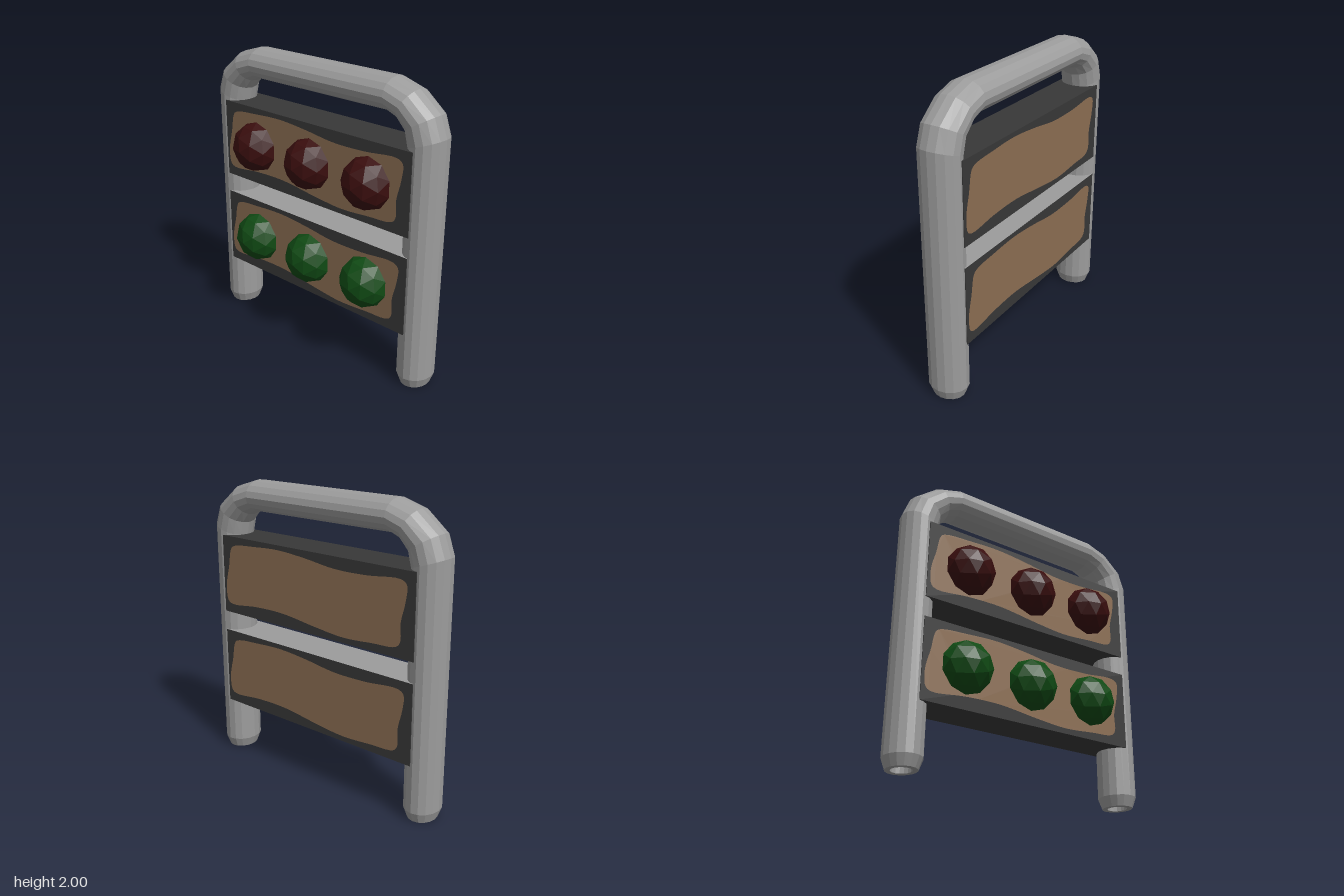
import * as THREE from 'three';

const mat = (name, color, extra = {}) => {
  const m = new THREE.MeshStandardMaterial({ color, ...extra });
  m.name = name;
  return m;
};

const Z = -0.085;      // centre plane of the frame
const HALF = 0.137;    // half depth of the tube and boards

// Bent tube: each station is [outerX, outerY, innerX, innerY, half depth]
function tubeGeometry(sides = 16) {
  const leg = (y, rx, rz) => [-0.82 - rx, y, -0.82 + rx, y, rz];
  const half = [
    leg(0.15, 0, 0), leg(0.15, 0.063, 0.072), leg(0, 0.063, 0.072), // hollow foot
    leg(0, 0.095, 0.11), leg(0.07, 0.12, HALF),                     // tapered foot
    [-0.94, 1.69, -0.70, 1.61, HALF],
    [-0.89, 1.825, -0.68, 1.70, HALF],
    [-0.735, 1.95, -0.63, 1.76, HALF],
    [-0.57, 2.0, -0.56, 1.79, HALF],
  ];
  const mirrored = half.map(([a, b, c, d, e]) => [-a, b, -c, d, e]).reverse();
  const stations = [...half, ...mirrored];
  const pos = [], index = [];
  stations.forEach(([ox, oy, ix, iy, rz], i) => {
    for (let j = 0; j < sides; j++) {
      const t = (j / sides) * Math.PI * 2, c = Math.cos(t) / 2;
      pos.push((ox + ix) / 2 + (ox - ix) * c, (oy + iy) / 2 + (oy - iy) * c, Z + rz * Math.sin(t));
      if (i === stations.length - 1) continue;
      const a = i * sides + j, b = i * sides + (j + 1) % sides;
      index.push(a, b, a + sides, b, b + sides, a + sides);
    }
  });
  const g = new THREE.BufferGeometry();
  g.setAttribute('position', new THREE.Float32BufferAttribute(pos, 3));
  g.setIndex(index);
  g.computeVertexNormals();
  return g;
}

// Wavy wooden inlay, relative to the board centre
function inlayGeometry() {
  const outline = [
    [-0.72, 0.19], [-0.68, 0.213], [-0.5, 0.23], [-0.28, 0.24], [-0.05, 0.223], [0.2, 0.193],
    [0.45, 0.195], [0.7, 0.213], [0.742, 0.185], [0.735, 0.08], [0.705, -0.05], [0.706, -0.165],
    [0.675, -0.203], [0.5, -0.22], [0.27, -0.235], [0.05, -0.217], [-0.25, -0.183], [-0.5, -0.187],
    [-0.73, -0.207], [-0.77, -0.185], [-0.782, -0.08], [-0.75, 0.06],
  ].map(([x, y]) => new THREE.Vector3(x, y, 0));
  const pts = new THREE.CatmullRomCurve3(outline, true).getPoints(110);
  return new THREE.ShapeGeometry(new THREE.Shape(pts.slice(0, -1).map(p => new THREE.Vector2(p.x, p.y))));
}

export function createModel() {
  const group = new THREE.Group();
  const metal = mat('grey metal', 0x9c9c9c, { flatShading: true });
  const dark = mat('dark board', 0x383838);
  const wood = mat('brown wood', 0x8c6e53);
  const red = mat('dark red', 0x3a0e0e, { flatShading: true });
  const green = mat('dark green', 0x104a14, { flatShading: true });

  const add = (name, geo, material, x = 0, y = 0, z = 0) => {
    const m = new THREE.Mesh(geo, material);
    m.name = name;
    m.position.set(x, y, z);
    group.add(m);
    return m;
  };

  add('tubeFrame', tubeGeometry(), metal);

  // Faceted knob with one vertex pointing forward
  const knob = new THREE.IcosahedronGeometry(1, 1);
  knob.rotateX(Math.atan2(2, 1 + Math.sqrt(5)));
  knob.rotateZ(-Math.PI / 2);
  knob.scale(0.175, 0.175, 0.17);

  const inlay = inlayGeometry();
  const board = new THREE.BoxGeometry(1.605, 0.543, HALF * 2 + 0.002);
  const rows = [
    { name: 'upper', y: 1.344, top: dark, knobs: red },
    { name: 'lower', y: 0.664, top: metal, knobs: green },
  ];
  for (const { name, y, top, knobs } of rows) {
    add(name + 'Board', board, [dark, dark, top, dark, dark, dark], 0, y, Z);
    add(name + 'FrontInlay', inlay, wood, 0, y, Z + HALF + 0.003);
    add(name + 'BackInlay', inlay, wood, 0, y, Z - HALF - 0.003).rotation.y = Math.PI;
    [-0.497, -0.006, 0.484].forEach((x, i) => add(name + 'Knob' + (i + 1), knob, knobs, x, y, 0.05));
  }
  return group;
}
